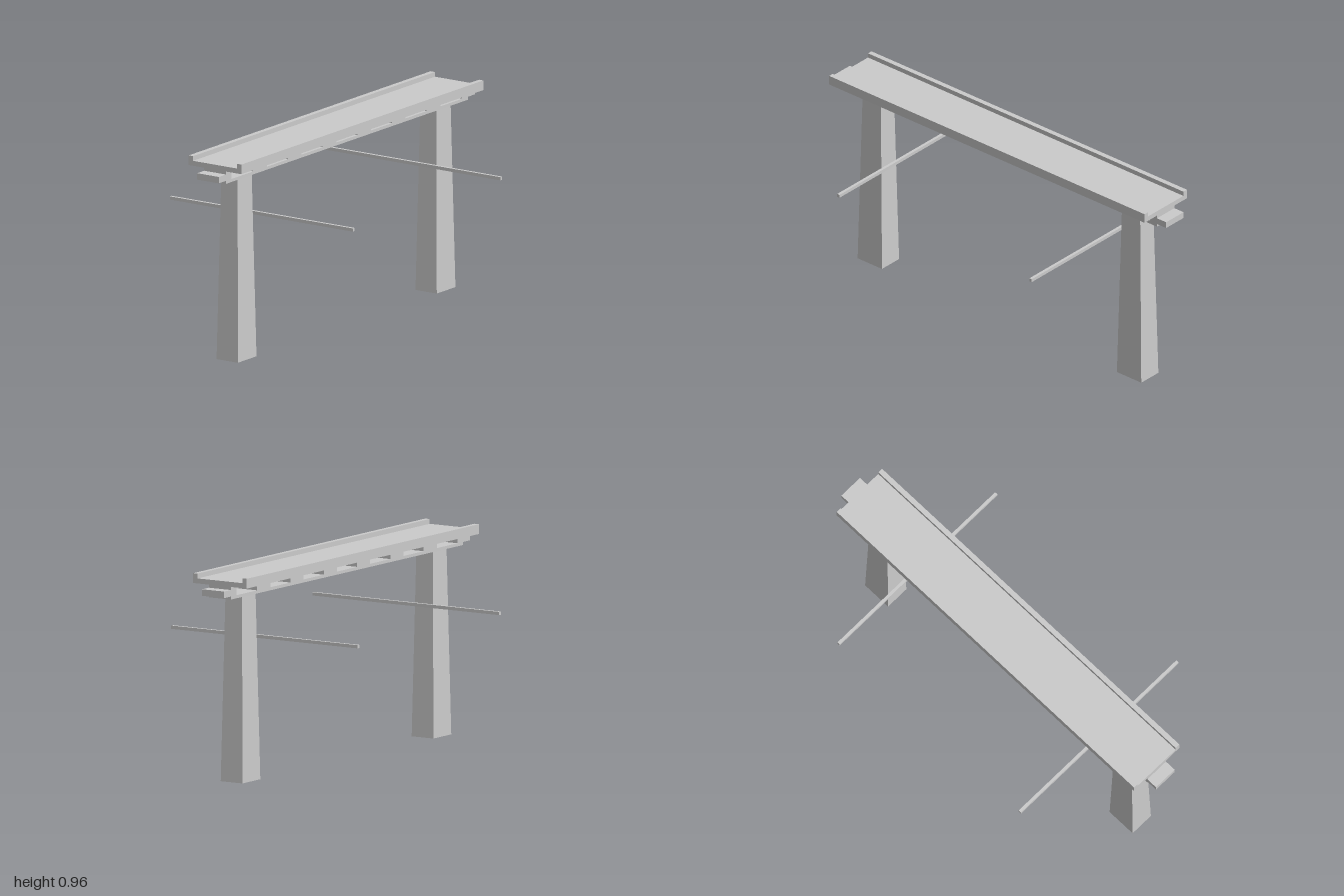
import * as THREE from 'three';

const material = new THREE.MeshStandardMaterial({ color: 0xcccccc, flatShading: true });

export function createModel() {
  const model = new THREE.Group();
  model.name = 'elevatedTrack';

  const add = (name, geometry, x, y, z) => {
    const mesh = new THREE.Mesh(geometry, material);
    mesh.name = name;
    mesh.position.set(x, y, z);
    model.add(mesh);
    return mesh;
  };

  // Box given by its width, its bottom and top heights, and its length
  const slab = (name, width, bottom, top, length, z = 0) =>
    add(name, new THREE.BoxGeometry(width, top - bottom, length), 0, (bottom + top) / 2, z);

  // Trough-shaped deck: floor with a raised kerb along each side
  const length = 1.89;
  const profile = new THREE.Shape([
    [-0.146, 0.913], [0.146, 0.913], [0.146, 0.958], [0.122, 0.958],
    [0.122, 0.936], [-0.122, 0.936], [-0.122, 0.958], [-0.146, 0.958],
  ].map(([x, y]) => new THREE.Vector2(x, y)));
  add('deck', new THREE.ExtrudeGeometry(profile, { depth: length, bevelEnabled: false }), 0, 0, -length / 2);

  // Beam below: two chords held apart by spacers, the end ones projecting
  slab('beamTopChord', 0.12, 0.899, 0.913, length);
  slab('beamBottomChord', 0.12, 0.855, 0.869, length);
  for (let i = 0; i < 8; i++) {
    const end = i === 0 || i === 7;
    const z = end ? Math.sign(i - 3.5) * 0.95 : (i - 3.5) * 0.271;
    slab('beamSpacer', 0.12, 0.869, 0.899, end ? 0.1 : 0.107, z);
  }

  // Tapered square pillars and thin cross rods at both ends
  for (const side of [1, -1]) {
    const pillar = new THREE.BoxGeometry(0.118, 0.855, 0.146);
    const p = pillar.attributes.position;
    for (let i = 0; i < p.count; i++) {
      if (p.getY(i) > 0) {
        p.setX(i, p.getX(i) * 0.77);
        p.setZ(i, p.getZ(i) * 0.75);
      }
    }
    pillar.computeVertexNormals();
    add('pillar', pillar, 0, 0.4275, side * 0.777);
    slab('crossRod', 1.016, 0.623, 0.638, 0.014, side * 0.576);
  }

  return model;
}
